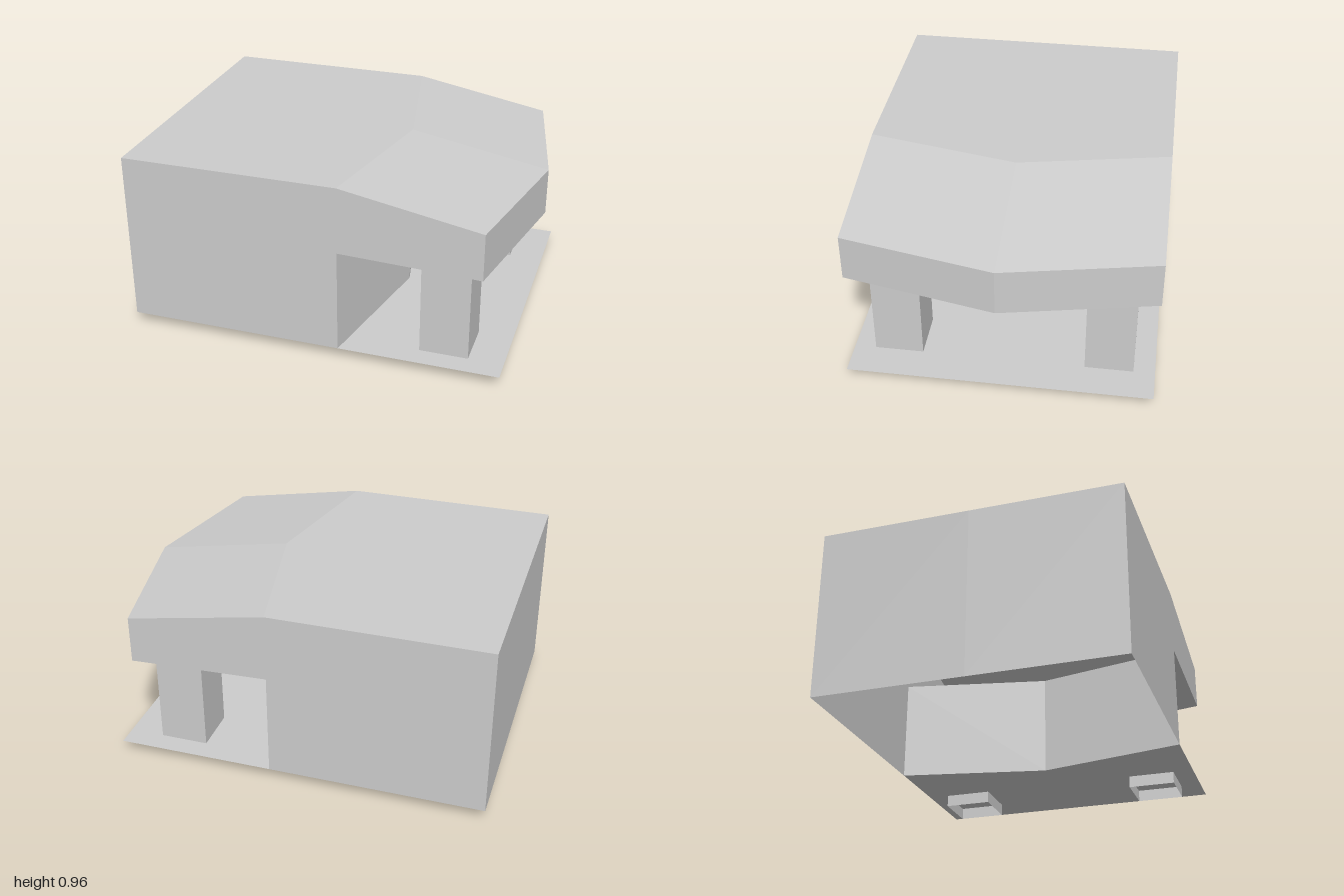
import * as THREE from 'three';

const HALF = 0.78;    // half depth of the building
const BOW = 0.16;     // how far the bowed front pushes out at the middle
const GROUND = 0.063; // bottom of the walls

// A sheet spanning the full depth between two lines across it, each [x, y, bow at the middle]
function panelGeometry(a, b) {
  const at = ([x, y, bow], z) => [x + (z === 0 ? bow : 0), y, z];
  const pos = [];
  for (const [z0, z1] of [[-HALF, 0], [0, HALF]]) {
    const p = at(a, z0), q = at(a, z1), r = at(b, z1), s = at(b, z0);
    pos.push(...p, ...q, ...r, ...p, ...r, ...s);
  }
  const g = new THREE.BufferGeometry();
  g.setAttribute('position', new THREE.Float32BufferAttribute(pos, 3));
  g.computeVertexNormals();
  return g;
}

export function createModel() {
  const group = new THREE.Group();
  const grey = new THREE.MeshStandardMaterial({ color: 0xcccccc, side: THREE.DoubleSide });
  grey.name = 'plain grey';

  const add = (name, geometry) => {
    const mesh = new THREE.Mesh(geometry, grey);
    mesh.name = name;
    group.add(mesh);
    return mesh;
  };

  // Key lines of the shell
  const backFoot = [-1, GROUND, 0], backTop = [-1, 0.96, 0];
  const ridge = [0.12, 0.96, BOW];
  const eaveTop = [0.84, 0.83, BOW], eaveBottom = [0.84, 0.585, BOW];
  const doorTop = [0.12, 0.61, BOW], doorFoot = [0.12, GROUND, BOW];
  const porchEdge = [0.945, GROUND, 0];

  // Open-bottomed shell with bowed front, canopy and porch floor
  add('backWall', panelGeometry(backFoot, backTop));
  add('flatRoof', panelGeometry(backTop, ridge));
  add('canopyRoof', panelGeometry(ridge, eaveTop));
  add('canopyFascia', panelGeometry(eaveTop, eaveBottom));
  add('canopySoffit', panelGeometry(eaveBottom, doorTop));
  add('frontWall', panelGeometry(doorTop, doorFoot));
  add('porchFloor', panelGeometry(doorFoot, porchEdge));

  // Side walls including the canopy ends
  const outline = [backFoot, doorFoot, doorTop, eaveBottom, eaveTop, ridge, backTop];
  const side = new THREE.Shape(outline.map(([x, y]) => new THREE.Vector2(x, y)));
  for (const [name, z] of [['sideWallFront', HALF], ['sideWallBack', -HALF]]) {
    add(name, new THREE.ShapeGeometry(side)).position.z = z;
  }

  // Hollow square posts, open at the ends, reaching just below the floor
  for (const [name, z] of [['postFront', 0.545], ['postBack', -0.545]]) {
    const tube = new THREE.CylinderGeometry(Math.SQRT1_2, Math.SQRT1_2, 1, 4, 1, true).toNonIndexed();
    tube.rotateY(Math.PI / 4);
    tube.scale(0.25, 0.596, 0.25);
    tube.computeVertexNormals();
    add(name, tube).position.set(0.64, 0.298, z);
  }

  return group;
}
